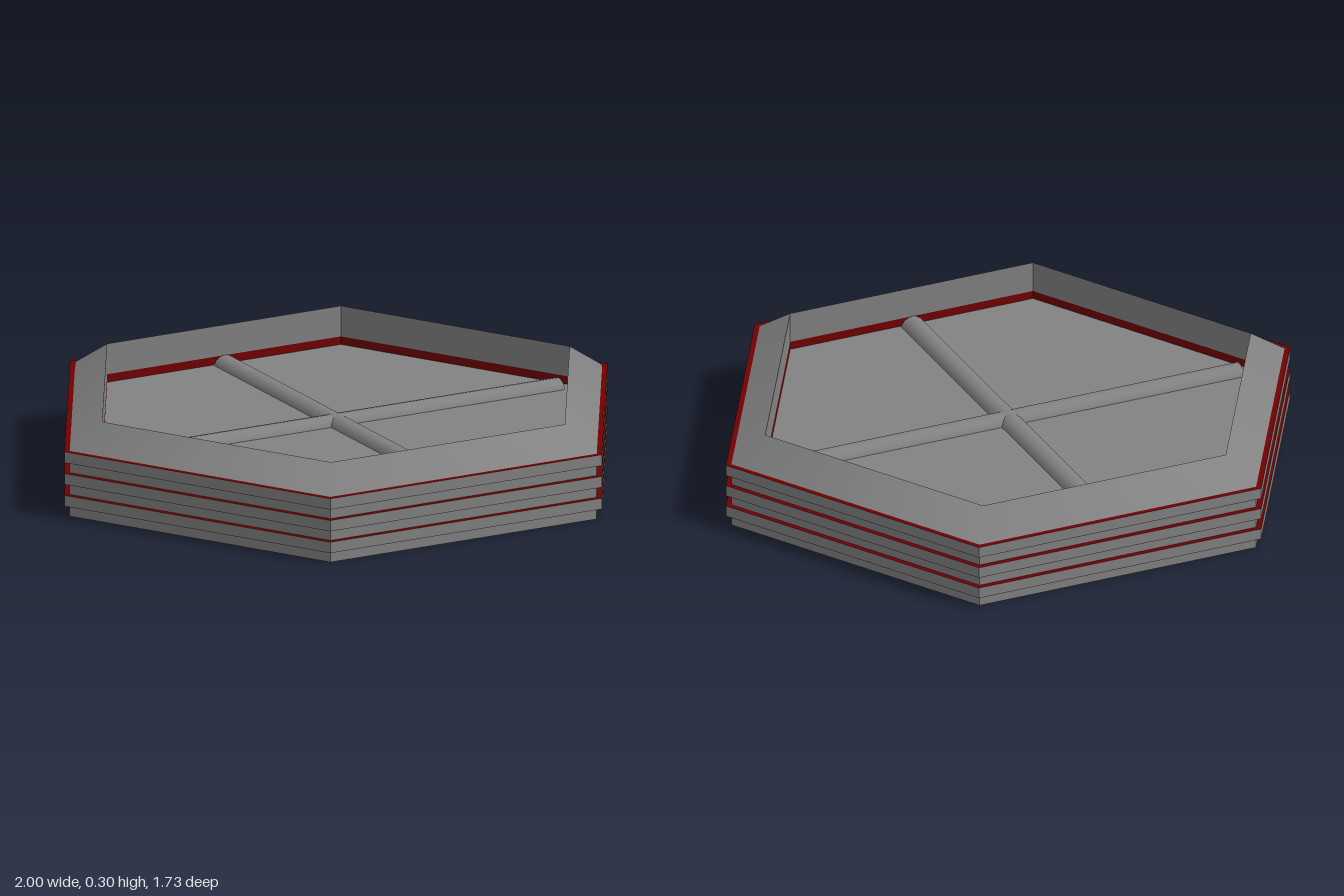
import * as THREE from 'three';

const grey = new THREE.MeshStandardMaterial({ color: 0x828282, flatShading: true });
const smoothGrey = new THREE.MeshStandardMaterial({ color: 0x828282 });
const red = new THREE.MeshStandardMaterial({ color: 0x720000, flatShading: true });

const OUTER = 1.0, GROOVE = 0.98, INNER = 0.86;
const BAND_TOP = 0.22, STEP = BAND_TOP / 6, TOP = 0.3, FLOOR = 0.17, STRIP = 0.027;

// Six-sided surface with corners on the x axis; profile runs [radius, height]
function hexSurface(name, profile, material) {
  const points = profile.map(([r, y]) => new THREE.Vector2(r, y));
  const mesh = new THREE.Mesh(new THREE.LatheGeometry(points, 6, Math.PI / 2), material);
  mesh.name = name;
  return mesh;
}

export function createModel() {
  const model = new THREE.Group();
  model.name = 'hexagonalTile';

  // Underside
  model.add(hexSurface('underside', [[0, 0], [GROOVE, 0]], grey));

  // Alternating recessed and projecting side bands with red ledges
  for (let i = 0; i < 6; i++) {
    const ridge = i % 2 === 1;
    const r = ridge ? OUTER : GROOVE;
    const y0 = i * STEP, y1 = y0 + STEP;
    model.add(hexSurface(ridge ? 'ridgeBand' : 'grooveBand', [[r, y0], [r, y1]], grey));
    if (ridge) {
      model.add(hexSurface('ridgeLowerLedge', [[GROOVE, y0], [OUTER, y0]], red));
      model.add(hexSurface('ridgeUpperLedge', [[OUTER, y1], [GROOVE, y1]], red));
    }
  }

  // Sloping rim, softly shaded around the corners
  const rim = new THREE.Mesh(
    new THREE.CylinderGeometry(INNER, GROOVE, TOP - BAND_TOP, 6, 1, true, Math.PI / 2), smoothGrey);
  rim.name = 'slopedRim';
  rim.position.y = (TOP + BAND_TOP) / 2;
  model.add(rim);

  // Inner wall with a red strip along the floor
  model.add(hexSurface('innerWall', [[INNER, TOP], [INNER, FLOOR + STRIP]], grey));
  model.add(hexSurface('innerStrip', [[INNER, FLOOR + STRIP], [INNER, FLOOR]], red));
  model.add(hexSurface('floor', [[INNER, FLOOR], [0, FLOOR]], grey));

  // Crossed round bars sunk in the floor
  const addBar = (name, length, axis) => {
    const bar = new THREE.Mesh(new THREE.CylinderGeometry(0.042, 0.042, length, 16), smoothGrey);
    bar.name = name;
    bar.rotation[axis] = Math.PI / 2;
    bar.position.y = FLOOR - 0.012;
    model.add(bar);
  };
  addBar('crossBarSideways', 1.64, 'z');
  addBar('crossBarLengthwise', 1.48, 'x');

  return model;
}
